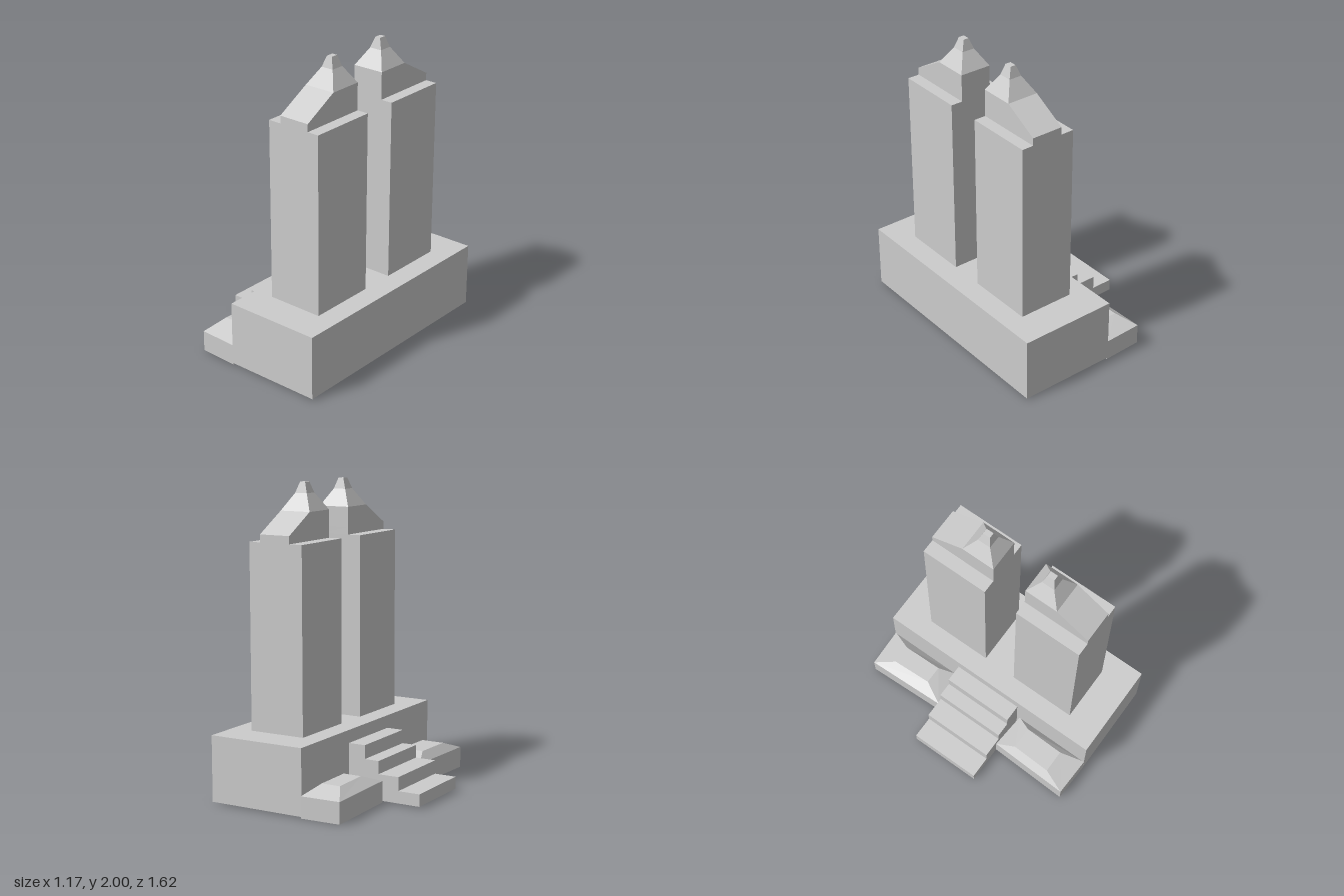
import * as THREE from 'three';

const material = new THREE.MeshStandardMaterial({ color: 0xcccccc, flatShading: true });

function add(parent, name, geometry) {
  const mesh = new THREE.Mesh(geometry, material);
  mesh.name = name;
  parent.add(mesh);
  return mesh;
}

// Box given by its extents
function box(x0, x1, y0, y1, z0, z1) {
  return new THREE.BoxGeometry(x1 - x0, y1 - y0, z1 - z0)
    .translate((x0 + x1) / 2, (y0 + y1) / 2, (z0 + z1) / 2);
}

// Rectangle of [x, z] corners, counter-clockwise seen from above
function rect(x0, x1, z0, z1) {
  return [[x0, z0], [x0, z1], [x1, z1], [x1, z0]];
}

// Closed solid through four-cornered levels: { y, ring }
function loft(levels) {
  const pos = [];
  const quad = (a, b, c, d) => pos.push(...a, ...b, ...c, ...a, ...c, ...d);
  const rings = levels.map(({ y, ring }) => ring.map(([x, z]) => [x, y, z]));
  for (let l = 0; l < rings.length - 1; l++) {
    for (let i = 0; i < 4; i++) {
      const j = (i + 1) % 4;
      quad(rings[l][i], rings[l][j], rings[l + 1][j], rings[l + 1][i]);
    }
  }
  quad(...rings[rings.length - 1]);
  quad(...[...rings[0]].reverse());
  const g = new THREE.BufferGeometry();
  g.setAttribute('position', new THREE.Float32BufferAttribute(pos, 3));
  g.computeVertexNormals();
  return g;
}

export function createModel() {
  const model = new THREE.Group();
  model.name = 'twinTowerMonument';

  add(model, 'base', box(-0.08, 0.585, 0.01, 0.44, -0.81, 0.81));

  // Cap levels: height, x range, distance range from the middle plane
  const capLevels = [
    [1.64, 0.145, 0.36, 0.117, 0.58],
    [1.69, 0.145, 0.36, 0.117, 0.58],
    [1.82, 0.145, 0.36, 0.117, 0.347],
    [1.93, 0.21, 0.296, 0.188, 0.277],
    [2.0, 0.235, 0.272, 0.207, 0.257],
  ];

  // Two mirrored towers with stepped, pointed caps
  for (const side of [1, -1]) {
    const tower = new THREE.Group();
    tower.name = side > 0 ? 'frontTower' : 'backTower';
    const span = (a, b) => (side > 0 ? [a, b] : [-b, -a]);
    add(tower, 'shaft', box(0.055, 0.44, 0.44, 1.64, ...span(0.117, 0.58)));
    add(tower, 'cap', loft(capLevels.map(([y, x0, x1, a, b]) => (
      { y, ring: rect(x0, x1, ...span(a, b)) }
    ))));
    model.add(tower);
  }

  // Stairs: each step runs back to the base
  const stairs = new THREE.Group();
  stairs.name = 'stairs';
  [[-0.59, 0.09], [-0.44, 0.18], [-0.297, 0.265], [-0.197, 0.355]].forEach(([x, y], i, all) => {
    const end = i < 3 ? all[i + 1][0] : -0.08;
    add(stairs, 'step' + (i + 1), box(x, end, 0.01, y, -0.25, 0.245));
  });
  model.add(stairs);

  // Low plinths with bevelled tops on either side of the stairs
  const plinths = {
    frontPlinth: {
      outer: [[-0.325, 0.245], [-0.345, 0.8], [-0.076, 0.81], [-0.074, 0.265]],
      inner: [[-0.28, 0.37], [-0.29, 0.645], [-0.132, 0.645], [-0.125, 0.37]],
    },
    backPlinth: {
      outer: [[-0.345, -0.8], [-0.325, -0.25], [-0.074, -0.275], [-0.076, -0.81]],
      inner: [[-0.265, -0.665], [-0.253, -0.395], [-0.129, -0.395], [-0.135, -0.665]],
    },
  };
  for (const [name, { outer, inner }] of Object.entries(plinths)) {
    add(model, name, loft([
      { y: 0, ring: outer },
      { y: 0.14, ring: outer },
      { y: 0.195, ring: inner },
    ]));
  }

  return model;
}
